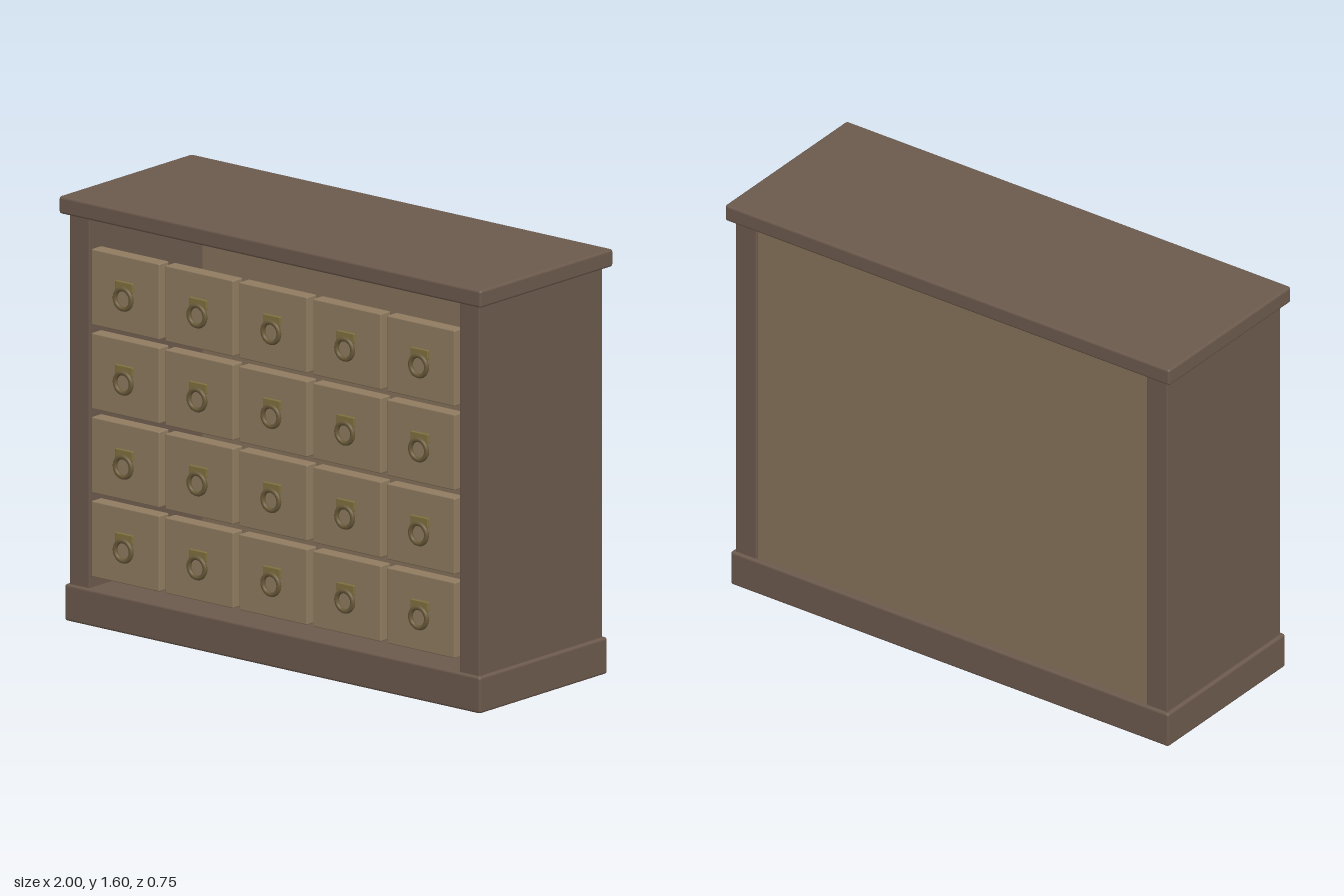
import * as THREE from 'three';
import { RoundedBoxGeometry } from 'three/addons/geometries/RoundedBoxGeometry.js';

const darkWood = new THREE.MeshStandardMaterial({ color: 0x6b594c });
const backWood = new THREE.MeshStandardMaterial({ color: 0x85715a });
const drawerWood = new THREE.MeshStandardMaterial({ color: 0x8f7b60 });
const brass = new THREE.MeshStandardMaterial({ color: 0x80703f });
const agedBrass = new THREE.MeshStandardMaterial({ color: 0x695a3a });

// Softly eased box spanning the given x, y and z ranges
function board(name, material, [x0, x1], [y0, y1], [z0, z1], ease) {
  const geometry = new RoundedBoxGeometry(x1 - x0, y1 - y0, z1 - z0, 2, ease);
  const mesh = new THREE.Mesh(geometry, material);
  mesh.position.set((x0 + x1) / 2, (y0 + y1) / 2, (z0 + z1) / 2);
  mesh.name = name;
  return mesh;
}

// Drawer front with a mounting plate and a hanging ring; origin at its centre
function createDrawer() {
  const drawer = new THREE.Group();
  drawer.add(board('drawerFront', drawerWood, [-0.161, 0.161], [-0.143, 0.143], [0.3, 0.355], 0.005));
  drawer.add(board('pullPlate', brass, [-0.041, 0.041], [0.012, 0.048], [0.352, 0.365], 0.003));
  const ring = new THREE.Mesh(new THREE.TorusGeometry(0.038, 0.009, 10, 28), agedBrass);
  ring.name = 'pullRing';
  ring.position.set(0, -0.015, 0.367);
  drawer.add(ring);
  return drawer;
}

export function createModel() {
  const cabinet = new THREE.Group();
  cabinet.name = 'drawerCabinet';

  // Carcass: plinth, top slab, two sides and a recessed back
  cabinet.add(board('plinth', darkWood, [-0.985, 0.985], [0, 0.138], [-0.36, 0.36], 0.01));
  cabinet.add(board('topSlab', darkWood, [-1, 1], [1.532, 1.598], [-0.374, 0.374], 0.01));
  cabinet.add(board('leftSide', darkWood, [0.877, 0.971], [0.13, 1.54], [-0.347, 0.347], 0.005));
  cabinet.add(board('rightSide', darkWood, [-0.971, -0.877], [0.13, 1.54], [-0.347, 0.347], 0.005));
  cabinet.add(board('backPanel', backWood, [-0.882, 0.882], [0.13, 1.54], [-0.337, -0.29], 0.003));

  // Four rows of five drawers
  for (let row = 0; row < 4; row++) {
    for (let column = 0; column < 5; column++) {
      const drawer = createDrawer();
      drawer.name = `drawerRow${row + 1}Column${column + 1}`;
      drawer.position.set((column - 2) * 0.35, 0.329 + row * 0.316, 0);
      cabinet.add(drawer);
    }
  }
  return cabinet;
}
